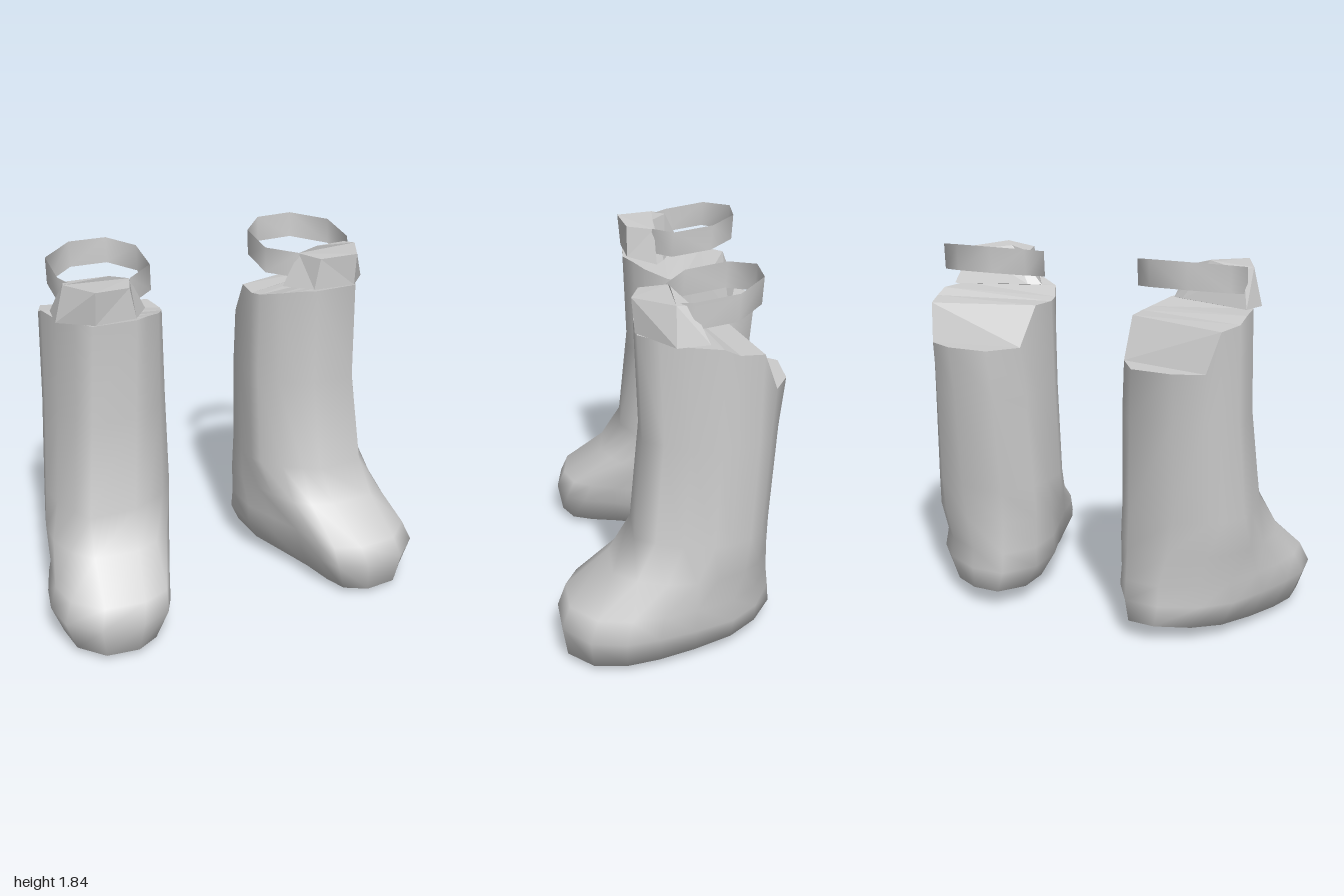
import * as THREE from 'three';

const lerp = THREE.MathUtils.lerp;

// Joins rings of [x, y, z] points (top ring first, counter-clockwise from above).
// side = -1 mirrors the shape across x and flips the faces.
function loft(rings, side, { walls = true, top = false, bottom = false, flat = false }) {
  const n = rings[0].length;
  const index = [];
  const quad = (a, b, c, d) =>
    index.push(...(side > 0 ? [a, b, c, a, c, d] : [a, c, b, a, d, c]));
  if (walls) {
    for (let r = 0; r < rings.length - 1; r++) {
      for (let i = 0; i < n; i++) {
        const j = (i + 1) % n;
        quad(r * n + i, (r + 1) * n + i, (r + 1) * n + j, r * n + j);
      }
    }
  }
  // Caps run as strips between opposite points of a ring
  const last = (rings.length - 1) * n;
  for (let i = 0; i < n / 2 - 1; i++) {
    if (top) quad(i, i + 1, n - 2 - i, n - 1 - i);
    if (bottom) quad(last + n - 1 - i, last + n - 2 - i, last + i + 1, last + i);
  }
  let geo = new THREE.BufferGeometry();
  const pos = rings.flat().flatMap(([x, y, z]) => [x * side, y, z]);
  geo.setAttribute('position', new THREE.Float32BufferAttribute(pos, 3));
  geo.setIndex(index);
  if (flat) geo = geo.toNonIndexed();
  geo.computeVertexNormals();
  return geo;
}

// Outline from front to back: position along the axis and half width, for shaft and foot
const SHAFT = [[0, 0.38], [0.11, 0.6], [0.24, 0.83], [0.43, 0.98], [0.53, 1], [0.71, 0.9], [0.85, 0.79], [1, 0.37]];
const FOOT = [[0, 0.36], [0.09, 0.85], [0.22, 0.98], [0.37, 0.99], [0.54, 1], [0.72, 0.99], [0.88, 0.8], [1, 0.3]];
// Stepped height of the shaft rim, front to back: outer side, inner side
const RIM = [[1.61, 1.61], [1.6, 1.6], [1.585, 1.585], [1.58, 1.55], [1.55, 1.54], [1.535, 1.54], [1.35, 1.35], [1.35, 1.35]];

// One slanted cross-section of the boot
function section({ yf, yb = yf, zf, zb, cf, cb, hw, foot = 0, rim }) {
  const point = (i, dir) => {
    const t = lerp(SHAFT[i][0], FOOT[i][0], foot);
    const w = lerp(SHAFT[i][1], FOOT[i][1], foot) * hw;
    const skew = 0.29 * w * Math.min(1, 4.5 * t * (1 - t) + 0.1 + 0.25 * foot * (1 - t));
    const bow = 0.1 * foot * Math.sin(Math.PI * t) * (1 - t);
    return [
      lerp(cf, cb, t) + bow + dir * w,
      rim ? rim[i][dir > 0 ? 0 : 1] : lerp(yf, yb, t * t),
      lerp(zf, zb, t) - dir * skew,
    ];
  };
  const outer = SHAFT.map((_, i) => point(i, 1));
  const inner = SHAFT.map((_, i) => point(i, -1)).reverse();
  return [...outer, ...inner];
}

const SECTIONS = [
  { rim: RIM, zf: 0.15, zb: -0.54, cf: 0.585, cb: 0.495, hw: 0.285 },
  { yf: 1.1, zf: 0.13, zb: -0.515, cf: 0.6, cb: 0.48, hw: 0.294 },
  { yf: 0.62, zf: 0.175, zb: -0.485, cf: 0.64, cb: 0.47, hw: 0.31 },
  { yf: 0.45, zf: 0.28, zb: -0.485, cf: 0.665, cb: 0.455, hw: 0.308, foot: 0.4 },
  { yf: 0.29, zf: 0.49, zb: -0.495, cf: 0.705, cb: 0.435, hw: 0.283, foot: 0.9 },
  { yf: 0.19, zf: 0.53, zb: -0.505, cf: 0.73, cb: 0.435, hw: 0.292, foot: 1 },
  { yf: 0.03, yb: 0.09, zf: 0.505, zb: -0.515, cf: 0.73, cb: 0.44, hw: 0.228, foot: 1 },
  { yf: 0, yb: 0.07, zf: 0.44, zb: -0.46, cf: 0.735, cb: 0.45, hw: 0.12, foot: 1 },
];

// Knee cuff outlines, inner back round the front to outer back
const CUFF_TOP = [
  [0.55, 1.785, -0.01], [0.45, 1.76, -0.01], [0.5, 1.765, 0.13],
  [0.68, 1.78, 0.17], [0.775, 1.77, -0.02], [0.75, 1.76, -0.09],
];
const CUFF_BASE = [
  [0.43, 1.6, -0.06], [0.37, 1.595, -0.02], [0.47, 1.61, 0.13],
  [0.68, 1.615, 0.155], [0.82, 1.59, -0.02], [0.8, 1.595, -0.17],
];

// Strap path seen from above
const STRAP = [
  [0.45, 0], [0.31, -0.1], [0.305, -0.3], [0.42, -0.42],
  [0.61, -0.425], [0.77, -0.3], [0.775, -0.1], [0.74, -0.03],
];

// Thin sloping band around the back of the leg
function strapGeometry(side) {
  const pos = [];
  const index = [];
  STRAP.forEach(([x, z], i) => {
    const y = 1.7 - 0.175 * z;
    pos.push(x * side, y + 0.064, z, x * side, y - 0.064, z + 0.008);
    if (i) {
      const a = 2 * i - 2;
      index.push(...(side > 0 ? [a, a + 3, a + 1, a, a + 2, a + 3] : [a, a + 1, a + 3, a, a + 3, a + 2]));
    }
  });
  const geo = new THREE.BufferGeometry();
  geo.setAttribute('position', new THREE.Float32BufferAttribute(pos, 3));
  geo.setIndex(index);
  geo.computeVertexNormals();
  return geo;
}

export function createModel() {
  const group = new THREE.Group();
  const smooth = new THREE.MeshStandardMaterial({ color: 0xcccccc });
  const flat = new THREE.MeshStandardMaterial({ color: 0xcccccc, flatShading: true });
  const thin = new THREE.MeshStandardMaterial({ color: 0xcccccc, side: THREE.DoubleSide });
  const rings = SECTIONS.map(section);

  for (const side of [1, -1]) {
    const boot = new THREE.Group();
    boot.name = side > 0 ? 'leftBoot' : 'rightBoot';
    const add = (name, geo, material) => {
      const mesh = new THREE.Mesh(geo, material);
      mesh.name = name;
      boot.add(mesh);
    };
    add('bootBody', loft(rings, side, { bottom: true }), smooth);
    add('bootTop', loft([rings[0]], side, { walls: false, top: true, flat: true }), flat);
    add('kneeCuff', loft([CUFF_TOP, CUFF_BASE], side, { top: true, bottom: true, flat: true }), flat);
    add('strap', strapGeometry(side), thin);
    group.add(boot);
  }
  return group;
}
